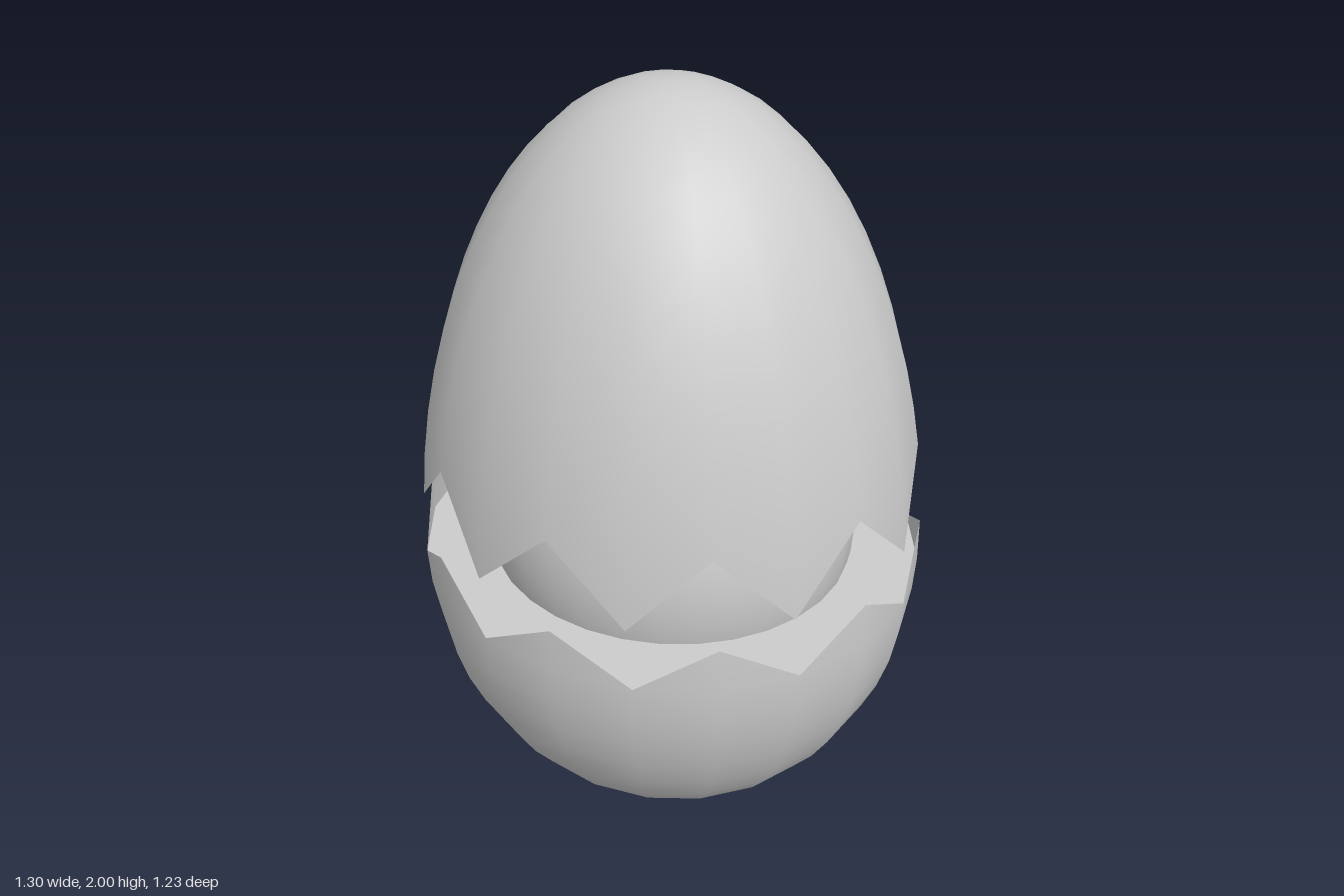
import * as THREE from 'three';

const SIDES = 20;                       // ten teeth, one peak and one valley each
const RX = 0.65, RZ = 0.615, MID = 0.75; // widest ring of the egg
const TOP = 1.25, BOTTOM = 0.75;         // heights above and below that ring

const material = new THREE.MeshStandardMaterial({ color: 0xcccccc, side: THREE.DoubleSide });

// Alternates between two heights around the egg
const zigzag = (even, odd) => (i) => (i % 2 ? odd : even);

const latitude = (y) => Math.asin(THREE.MathUtils.clamp((y - MID) / (y > MID ? TOP : BOTTOM), -1, 1));

// Part of the egg surface between a lower and an upper edge, each given per column
function eggSheet(lowEdge, highEdge, rows) {
  const positions = [], normals = [], index = [];
  const n = new THREE.Vector3();
  for (let i = 0; i < SIDES; i++) {
    const angle = (i / SIDES) * Math.PI * 2;
    for (let j = 0; j <= rows; j++) {
      const phi = THREE.MathUtils.lerp(latitude(lowEdge(i)), latitude(highEdge(i)), j / rows);
      const h = phi > 0 ? TOP : BOTTOM;
      const x = RX * Math.cos(phi) * Math.sin(angle);
      const z = RZ * Math.cos(phi) * Math.cos(angle);
      const y = h * Math.sin(phi);
      positions.push(x, y + MID, z);
      n.set(x / RX ** 2, y / h ** 2, z / RZ ** 2).normalize();
      normals.push(n.x, n.y, n.z);
      const a = i * (rows + 1) + j, b = ((i + 1) % SIDES) * (rows + 1) + j;
      if (j < rows) index.push(a, b, b + 1, a, b + 1, a + 1);
    }
  }
  const geometry = new THREE.BufferGeometry();
  geometry.setAttribute('position', new THREE.Float32BufferAttribute(positions, 3));
  geometry.setAttribute('normal', new THREE.Float32BufferAttribute(normals, 3));
  geometry.setIndex(index);
  return geometry;
}

function addMesh(parent, name, geometry) {
  const mesh = new THREE.Mesh(geometry, material);
  mesh.name = name;
  parent.add(mesh);
  return mesh;
}

export function createModel() {
  const model = new THREE.Group();
  model.name = 'crackedEgg';

  // Upper shell with teeth pointing down, turned slightly
  const upper = addMesh(model, 'upperShell', eggSheet(zigzag(1.12, 0.93), () => 2, 14));
  upper.rotation.y = -0.025;

  // Lower shell: bowl, flat ledge and teeth pointing up
  const lower = new THREE.Group();
  lower.name = 'lowerShell';
  model.add(lower);
  const rim = 0.76;
  addMesh(lower, 'bowl', eggSheet(() => 0, () => rim, 12));
  addMesh(lower, 'lowerTeeth', eggSheet(() => rim, zigzag(0.88, rim), 1));
  const ledge = addMesh(lower, 'ledge', new THREE.CircleGeometry(1, SIDES));
  ledge.rotation.x = -Math.PI / 2;
  ledge.scale.set(RX, RZ, 1);
  ledge.position.y = rim;

  // Rounded core showing through the crack
  const core = addMesh(model, 'core', new THREE.SphereGeometry(1, 32, 24));
  core.scale.set(0.485, 0.52, 0.458);
  core.position.y = 0.87;

  return model;
}
